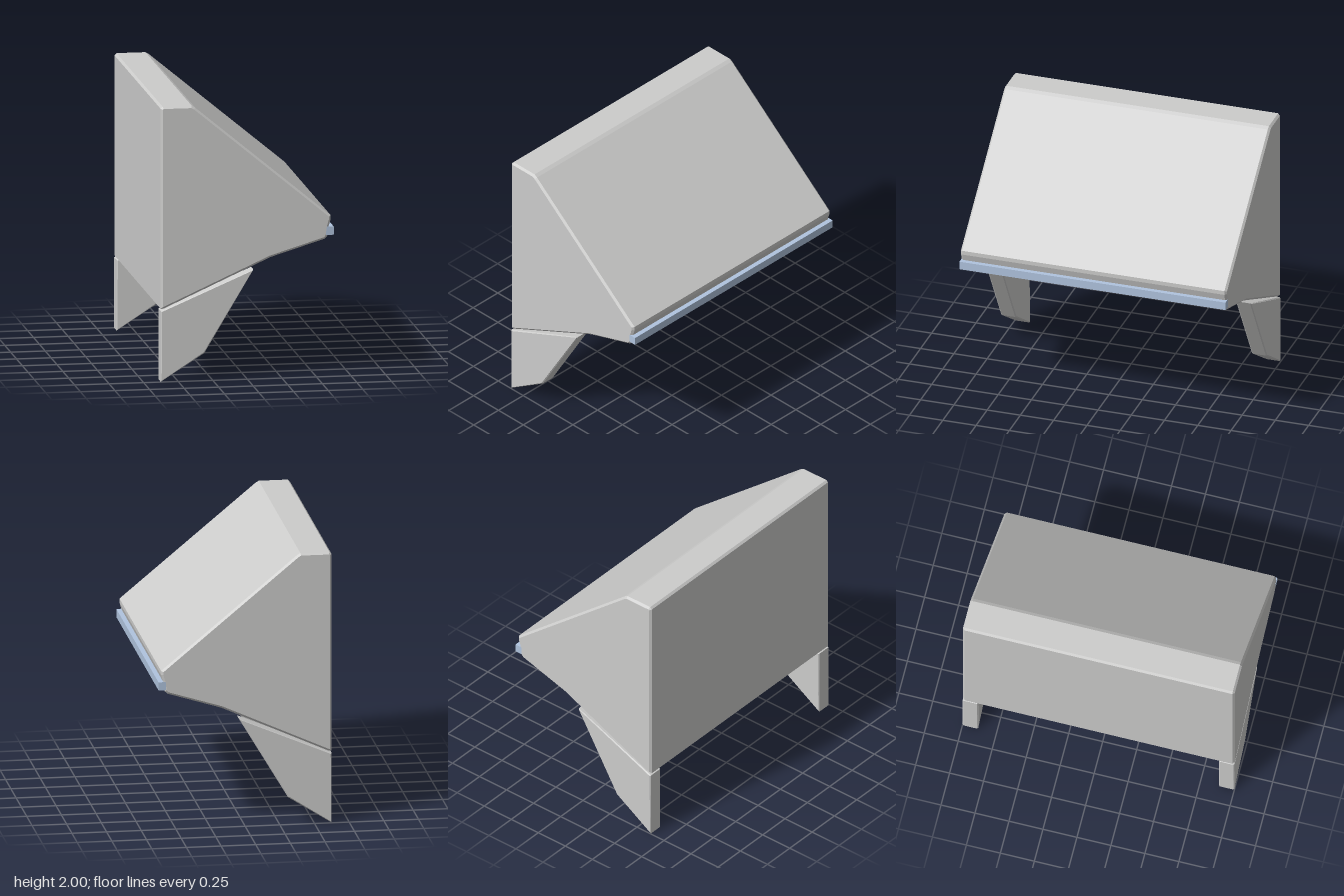
import * as THREE from 'three';

// Prism along z with a narrow chamfer around both end outlines
function prism(points, zMin, zMax, bevel, material, name) {
  const shape = new THREE.Shape(points.map(([x, y]) => new THREE.Vector2(x, y)));
  const geometry = new THREE.ExtrudeGeometry(shape, {
    depth: zMax - zMin - 2 * bevel,
    bevelEnabled: true,
    bevelThickness: bevel,
    bevelSize: bevel,
    bevelOffset: -bevel,
    bevelSegments: 1,
  });
  geometry.translate(0, 0, zMin + bevel);
  const mesh = new THREE.Mesh(geometry, material);
  mesh.name = name;
  return mesh;
}

export function createModel() {
  const grey = new THREE.MeshStandardMaterial({ color: 0xcccccb });
  grey.name = 'light grey';
  const blue = new THREE.MeshStandardMaterial({ color: 0xb0c4de });
  blue.name = 'pale blue';

  const model = new THREE.Group();
  model.name = 'wallCabinet';

  // Sloped housing with trimmed corners
  const housing = [
    [-0.625, 0.53], [-0.605, 0.53], [0.17, 0.88], [0.56, 1.0], [0.58, 1.02],
    [0.59, 1.09], [0.605, 1.14], [0.605, 1.17], [-0.375, 1.985], [-0.4, 2.0],
    [-0.61, 2.0], [-0.625, 1.985],
  ];
  model.add(prism(housing, -1, 1, 0.015, grey, 'housing'));

  // Pair of support brackets under the housing
  const bracket = [[-0.625, 0], [-0.31, 0.2], [0.045, 0.795], [-0.625, 0.515]];
  model.add(prism(bracket, 0.885, 1, 0.008, grey, 'frontBracket'));
  model.add(prism(bracket, -1, -0.885, 0.008, grey, 'backBracket'));

  // Strip along the outer lip
  const strip = new THREE.Mesh(new THREE.BoxGeometry(0.055, 0.06, 2), blue);
  strip.name = 'lipStrip';
  strip.position.set(0.5975, 1.06, 0);
  model.add(strip);

  return model;
}
